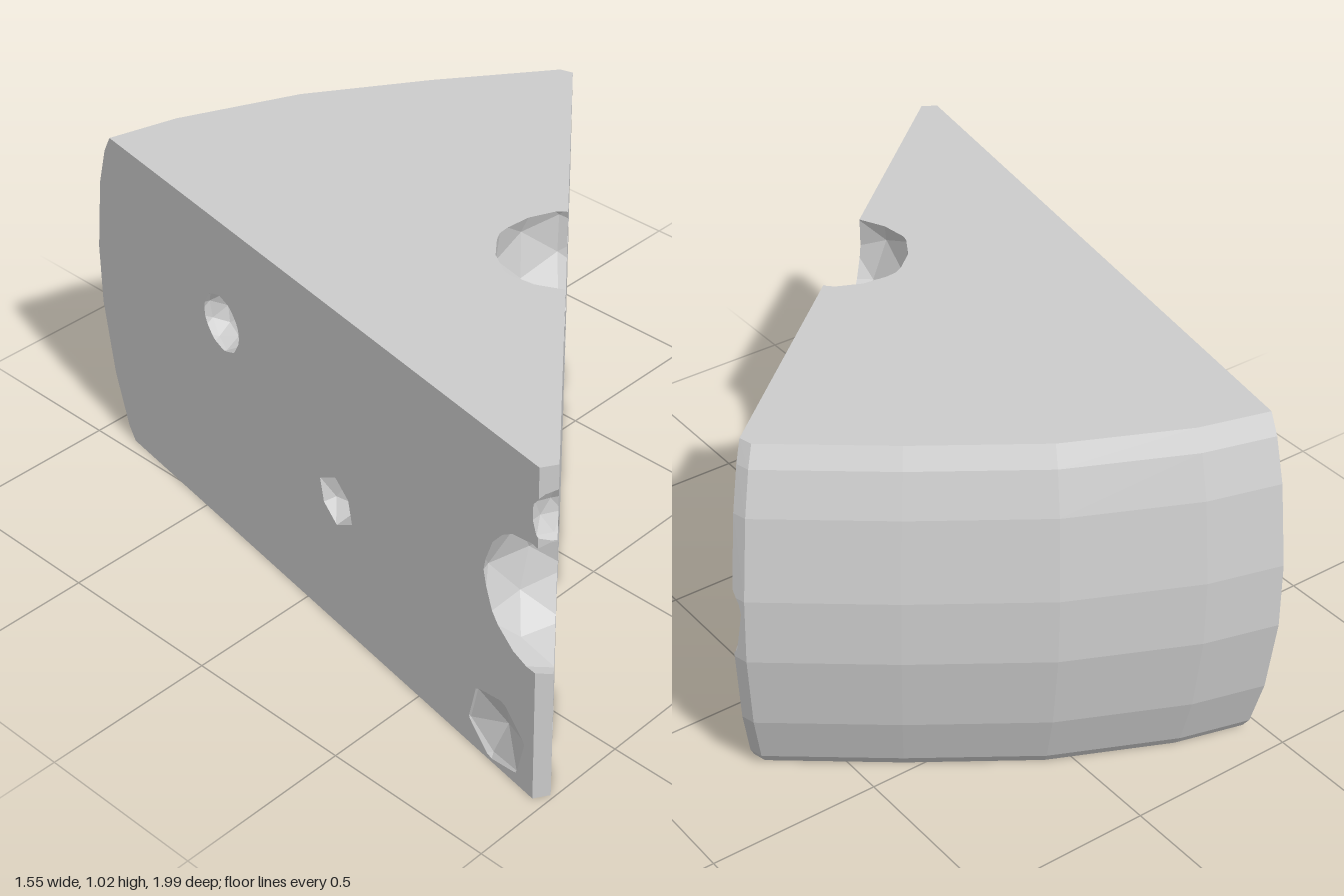
import * as THREE from 'three';
import { ConvexGeometry } from 'three/addons/geometries/ConvexGeometry.js';

const V = (x, y, z) => new THREE.Vector3(x, y, z);

// Triangles of a geometry, as lists of corners
function polygons(geo) {
  const g = geo.index ? geo.toNonIndexed() : geo;
  const p = g.attributes.position;
  const out = [];
  for (let i = 0; i < p.count; i += 3) {
    const tri = [0, 1, 2].map(k => new THREE.Vector3().fromBufferAttribute(p, i + k));
    if (new THREE.Triangle(...tri).getArea() > 1e-7) out.push(tri);
  }
  return out;
}

// A convex solid: its faces and their outward planes
function solid(geo) {
  const faces = polygons(geo);
  const planes = faces.map(f => new THREE.Plane().setFromCoplanarPoints(...f));
  return { faces, planes };
}

// Part of a polygon behind (side = 1) or in front of (side = -1) a plane
function clip(poly, plane, side) {
  const out = [];
  poly.forEach((a, i) => {
    const b = poly[(i + 1) % poly.length];
    const da = plane.distanceToPoint(a) * side, db = plane.distanceToPoint(b) * side;
    if (da <= 1e-6) out.push(a);
    if ((da < -1e-6 && db > 1e-6) || (da > 1e-6 && db < -1e-6)) out.push(a.clone().lerp(b, da / (da - db)));
  });
  const reaches = out.some(v => plane.distanceToPoint(v) * side < -1e-6);
  return out.length > 2 && (reaches || side === 1) ? out : [];
}

const clipInside = (poly, planes) => planes.reduce((p, pl) => (p.length ? clip(p, pl, 1) : p), poly);

// Pieces of a polygon lying outside a convex solid
function subtract(poly, planes) {
  if (!clipInside(poly, planes).length) return [poly];
  const pieces = [];
  let rest = poly;
  for (const pl of planes) {
    const outer = clip(rest, pl, -1);
    if (outer.length) pieces.push(outer);
    rest = clip(rest, pl, 1);
    if (!rest.length) break;
  }
  return pieces;
}

function toMesh(polys, name) {
  const pos = [];
  for (const p of polys)
    for (let i = 1; i < p.length - 1; i++)
      for (const v of [p[0], p[i], p[i + 1]]) pos.push(v.x, v.y, v.z);
  const geo = new THREE.BufferGeometry();
  geo.setAttribute('position', new THREE.Float32BufferAttribute(pos, 3));
  geo.computeVertexNormals();
  const mesh = new THREE.Mesh(geo, new THREE.MeshStandardMaterial({ color: 0xcccccc, flatShading: true }));
  mesh.name = name;
  return mesh;
}

// Wedge with a bulging, rounded rind
function wedge() {
  const arc = [[-0.44, -1], [-0.23, -0.945], [0.12, -0.785], [0.45, -0.56], [0.765, -0.32], [0.775, -0.28]];
  const profile = [[0, 0.06], [0.04, 0.045], [0.2, 0.018], [0.43, 0], [0.62, 0.002], [0.85, 0.022], [0.97, 0.043], [1.025, 0.06]];
  const tipLeft = V(-0.775, 0, 0.965), tipRight = V(-0.735, 0, 0.99);
  const pts = [];
  profile.forEach(([y, inset]) => {
    arc.forEach(([x, z], i) => {
      const tip = tipLeft.clone().lerp(tipRight, i / (arc.length - 1));
      pts.push(V(x, 0, z).lerp(tip, inset).setY(y));
    });
  });
  for (const y of [0, 1.025]) for (const t of [tipLeft, tipRight]) pts.push(t.clone().setY(y));
  return solid(new ConvexGeometry(pts));
}

// Points on the two cut sides, pushed outward by d
const onRight = (x, y, d = 0) => [x + 0.643 * d, y, -0.28 + (0.775 - x) * 0.841 + 0.766 * d];
const onLeft = (z, y, d = 0) => [-0.44 - (z + 1) * 0.1705 - 0.986 * d, y, z - 0.168 * d];

export function createModel() {
  const group = new THREE.Group();
  group.name = 'cheeseWedge';

  // Centre, radius and icosphere detail of each hole or chip
  const holes = [
    [onRight(-0.04, 0.97), 0.195, 1],
    [onRight(0.375, 0.765), 0.127, 1],
    [onRight(0.28, 0.548), 0.062, 0],
    [onRight(-0.27, 0.125), 0.255, 1],
    [[-0.72, 0.6, 0.97], 0.205, 1],
    [[-0.755, 0.88, 1.025], 0.085, 1],
    [onLeft(-0.36, 0.7), 0.085, 1],
    [onLeft(0.15, 0.42), 0.07, 0],
    // Shallow chips along the lower and rind edges
    [onRight(0.58, 0.13, 0.2), 0.25, 1],
    [onRight(0.78, 0.55, 0.21), 0.235, 1],
    [onRight(-0.62, 0.08, 0.15), 0.185, 1],
    [onLeft(0.82, 0.12, 0.15), 0.185, 1],
  ];
  const cutters = holes.map(([c, r, detail], i) => {
    const g = new THREE.IcosahedronGeometry(r * (detail ? 1.03 : 1.12), detail);
    g.rotateX(0.4 + i * 0.7).rotateY(0.3 + i * 1.1).translate(...c);
    return solid(g);
  });

  const body = wedge();
  const cutAway = (polys, solids) => solids.reduce((ps, s) => ps.flatMap(p => subtract(p, s.planes)), polys);

  // Outer skin with the openings cut out
  group.add(toMesh(cutAway(body.faces, cutters), 'wedgeSkin'));

  // Hollows: the part of each ball inside the wedge, facing inward
  cutters.forEach((cutter, i) => {
    const inner = cutter.faces.map(f => clipInside(f, body.planes)).filter(p => p.length);
    const rest = cutAway(inner, cutters.filter(c => c !== cutter));
    if (rest.length) group.add(toMesh(rest.map(p => [...p].reverse()), (i < 8 ? 'hole' : 'chip') + (i + 1)));
  });
  return group;
}
